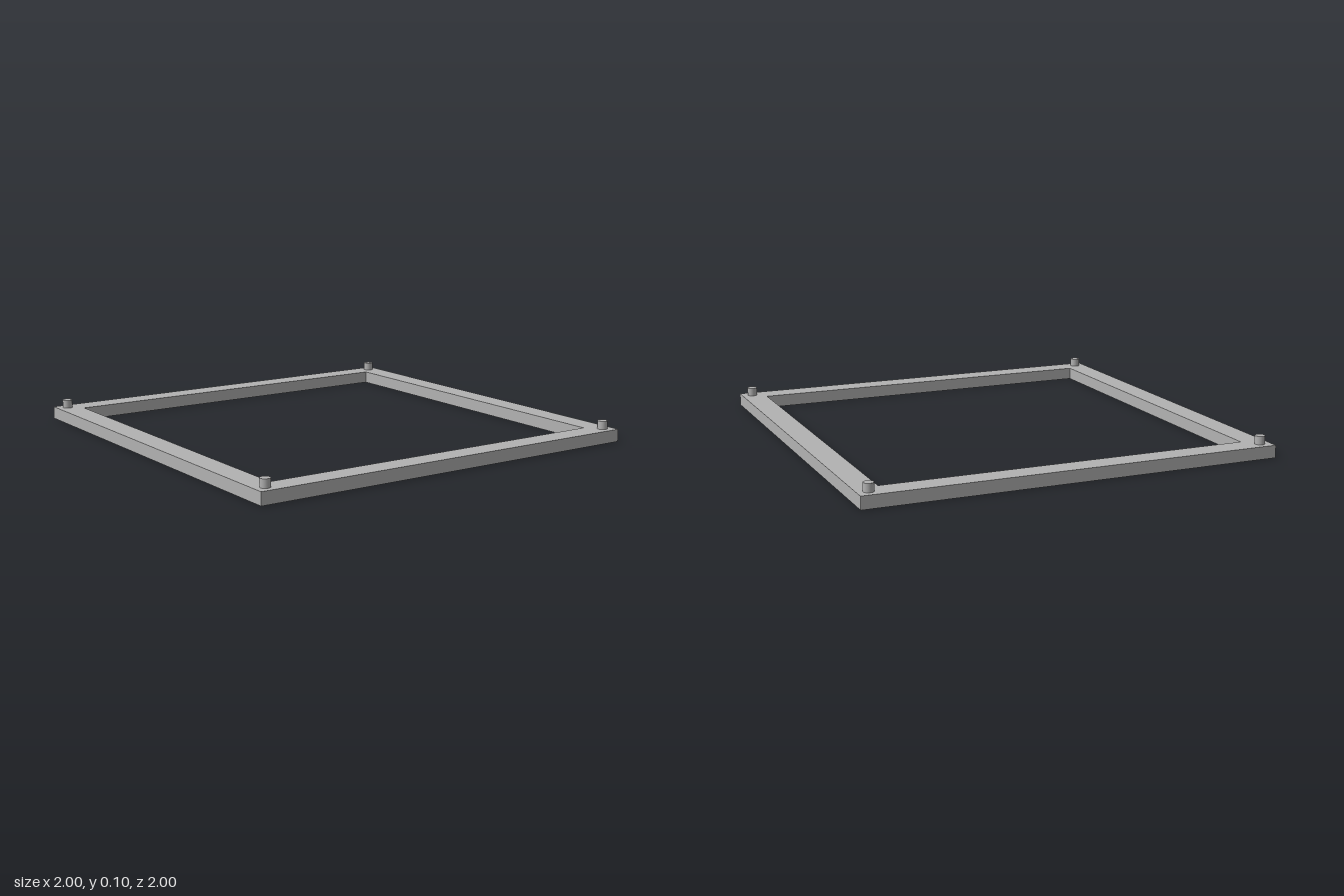
import * as THREE from 'three';

const OUTER = 1, INNER = 0.885, PEG = 0.947, R = 0.024;
const HEIGHT = 0.06, SOCKET = 0.042, PEG_TOP = 0.1;
const corners = [[1, 1], [-1, 1], [-1, -1], [1, -1]];

const square = (Type, s) => new Type(corners.map(([x, y]) => new THREE.Vector2(x * s, y * s)));

// Square ring lying flat, optionally pierced at the corners
function ring(y, depth, pierced) {
  const shape = square(THREE.Shape, OUTER);
  shape.holes.push(square(THREE.Path, INNER));
  if (pierced) {
    for (const [x, z] of corners) {
      shape.holes.push(new THREE.Path().absarc(x * PEG, z * PEG, R, 0, Math.PI * 2, true));
    }
  }
  const geometry = new THREE.ExtrudeGeometry(shape, { depth, bevelEnabled: false, curveSegments: 24 });
  return geometry.rotateX(-Math.PI / 2).translate(0, y, 0);
}

export function createModel() {
  const model = new THREE.Group();
  model.name = 'stackingFrame';
  const grey = new THREE.MeshStandardMaterial({ color: 0xb2b2b2 });
  grey.name = 'grey';

  const add = (name, geometry) => {
    const mesh = new THREE.Mesh(geometry, grey);
    mesh.name = name;
    model.add(mesh);
    return mesh;
  };

  // Frame: lower layer holds the blind sockets, upper layer closes them
  add('frameWithSockets', ring(0, SOCKET, true));
  add('frameTop', ring(SOCKET, HEIGHT - SOCKET, false));

  // Locating pegs on the corners
  const pegGeometry = new THREE.CylinderGeometry(R, R, PEG_TOP - HEIGHT, 24);
  for (const [x, z] of corners) {
    add('cornerPeg', pegGeometry).position.set(x * PEG, (PEG_TOP + HEIGHT) / 2, z * PEG);
  }
  return model;
}
